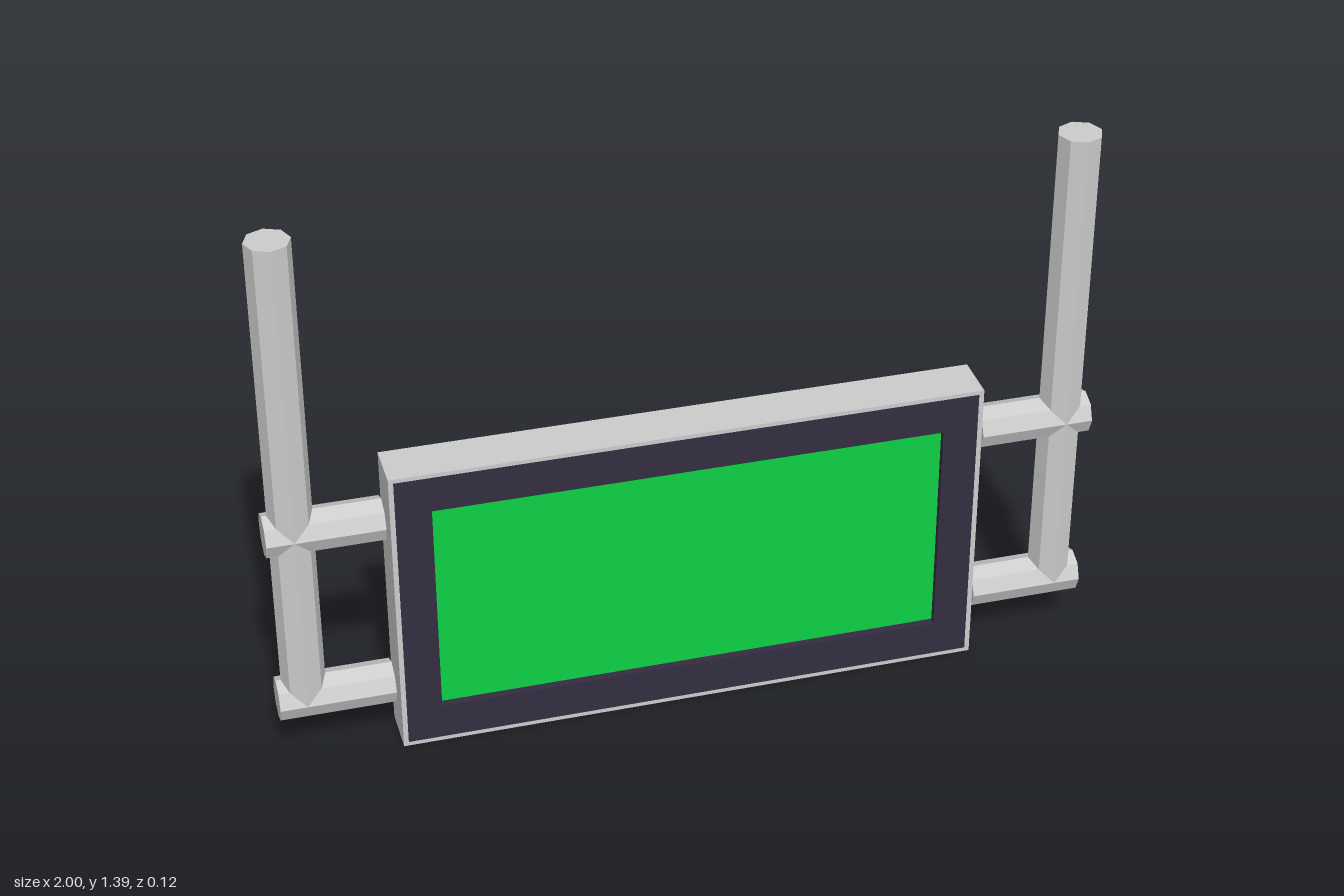
import * as THREE from 'three';

const W = 1.43, H = 0.765, D = 0.121; // casing size
const midY = H / 2;

const grey = new THREE.MeshStandardMaterial({ color: 0xcccccc, flatShading: true });
const dark = new THREE.MeshStandardMaterial({ color: 0x332e40, flatShading: true });
const green = new THREE.MeshStandardMaterial({ color: 0x0ed145, flatShading: true });

function addMesh(parent, name, geometry, material, x, y, z) {
  const mesh = new THREE.Mesh(geometry, material);
  mesh.name = name;
  mesh.position.set(x, y, z);
  parent.add(mesh);
  return mesh;
}

function rectangle(PathType, w, h) {
  return new PathType([
    new THREE.Vector2(-w / 2, -h / 2), new THREE.Vector2(w / 2, -h / 2),
    new THREE.Vector2(w / 2, h / 2), new THREE.Vector2(-w / 2, h / 2),
  ]);
}

// Rectangular ring, centred in depth
function ring(w, h, holeW, holeH, depth) {
  const shape = rectangle(THREE.Shape, w, h);
  shape.holes.push(rectangle(THREE.Path, holeW, holeH));
  return new THREE.ExtrudeGeometry(shape, { depth, bevelEnabled: false }).translate(0, 0, -depth / 2);
}

export function createModel() {
  const model = new THREE.Group();
  model.name = 'hangingDisplay';

  // Double-sided display: casing, bezel and recessed screen
  const display = new THREE.Group();
  display.name = 'display';
  model.add(display);
  addMesh(display, 'casing', ring(W, H, 1.406, 0.744, D), grey, 0, midY, 0);
  addMesh(display, 'bezel', ring(1.406, 0.744, 1.235, 0.561, D), dark, 0, midY, 0);
  addMesh(display, 'screen', new THREE.BoxGeometry(1.235, 0.561, D - 0.03), green, 0, 0.386, 0);

  // Octagonal hanging post with two cross bars on each side
  const radius = 0.053, barLength = 0.277, postBottom = 0.158, postTop = 1.388;
  for (const side of [-1, 1]) {
    const bracket = new THREE.Group();
    bracket.name = side > 0 ? 'leftBracket' : 'rightBracket';
    model.add(bracket);
    const post = new THREE.CylinderGeometry(radius, radius, postTop - postBottom, 8);
    addMesh(bracket, 'post', post, grey, side * 0.935, (postTop + postBottom) / 2, 0);
    for (const [name, y] of [['lowerBar', 0.158], ['upperBar', 0.626]]) {
      const bar = new THREE.CylinderGeometry(radius, radius, barLength, 8).rotateZ(Math.PI / 2);
      addMesh(bracket, name, bar, grey, side * (1 - barLength / 2), y, 0);
    }
  }
  return model;
}
